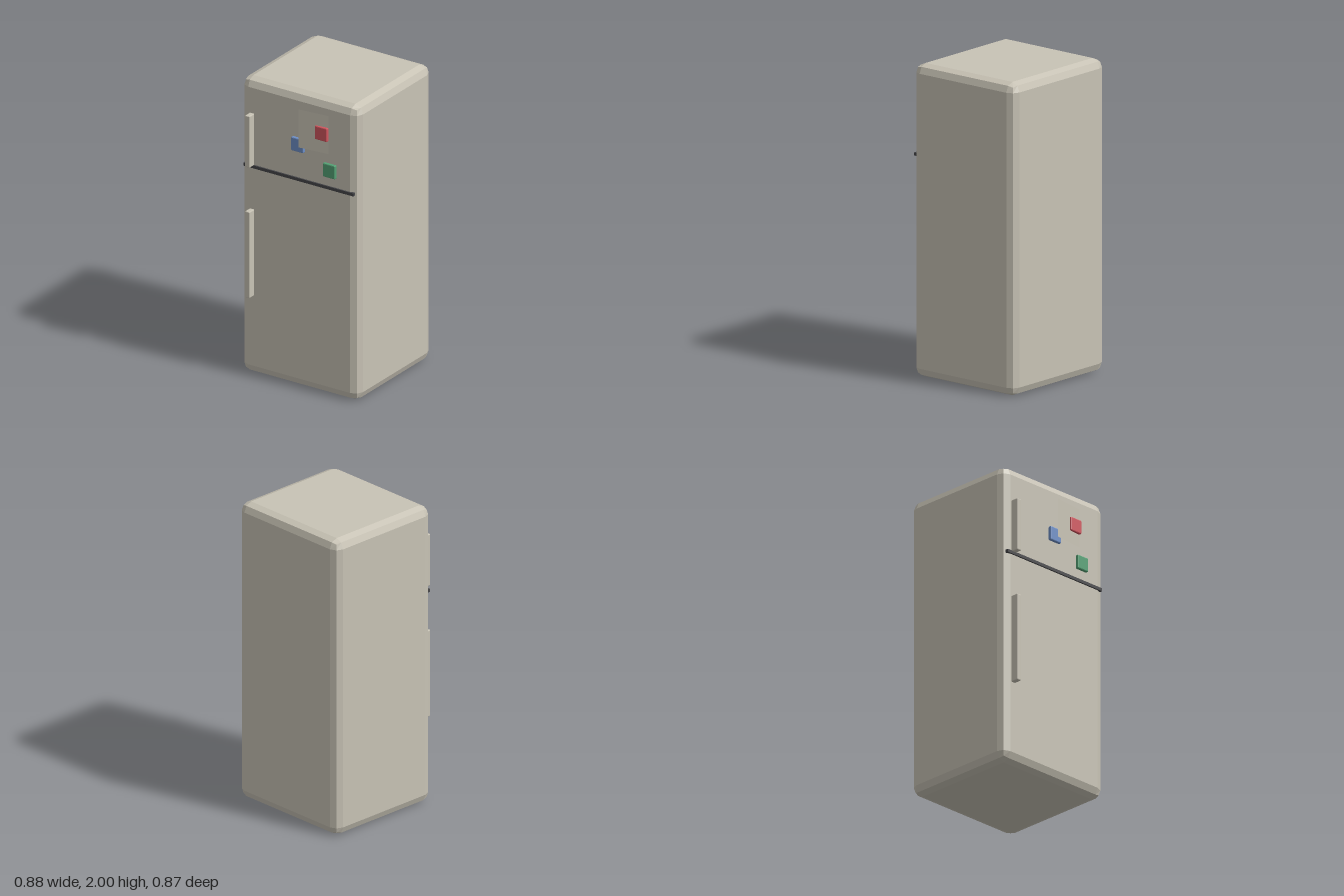
import * as THREE from 'three';

const paint = (name, color) => {
  const m = new THREE.MeshStandardMaterial({ color });
  m.name = name;
  m.flatShading = true;
  return m;
};

// Box with every edge rounded in two facets
function softBox(w, h, d, r) {
  const g = new THREE.BoxGeometry(1, 1, 1, 3, 3, 3);
  const p = g.attributes.position;
  const v = new THREE.Vector3();
  const core = new THREE.Vector3(w / 2 - r, h / 2 - r, d / 2 - r);
  const rim = (t) => (Math.abs(t) > 0.4 ? Math.sign(t) : 0);
  for (let i = 0; i < p.count; i++) {
    v.fromBufferAttribute(p, i);
    const out = new THREE.Vector3(rim(v.x), rim(v.y), rim(v.z)).normalize().multiplyScalar(r);
    const inner = new THREE.Vector3(Math.sign(v.x), Math.sign(v.y), Math.sign(v.z)).multiply(core);
    v.copy(inner).add(out);
    p.setXYZ(i, v.x, v.y, v.z);
  }
  const flat = g.toNonIndexed();
  flat.computeVertexNormals();
  return flat;
}

export function createModel() {
  const enamel = paint('warm grey enamel', 0xc8c3b5);
  const seal = paint('dark seal', 0x47474a);
  const red = paint('red magnet', 0xd2565f);
  const blue = paint('blue magnet', 0x6f90c8);
  const green = paint('green magnet', 0x55a275);
  const sheet = paint('note paper', 0xc8c3b5);
  sheet.side = THREE.DoubleSide;

  const fridge = new THREE.Group();
  fridge.name = 'refrigerator';
  const add = (name, geometry, material, x, y, z) => {
    const m = new THREE.Mesh(geometry, material);
    m.name = name;
    m.position.set(x, y, z);
    fridge.add(m);
    return m;
  };

  // Cabinet
  add('cabinet', softBox(0.876, 2, 0.82, 0.058), enamel, 0, 1, -0.026);

  // Gap between the two doors
  add('doorSeal', new THREE.BoxGeometry(0.82, 0.02, 0.02), seal, 0, 1.413, 0.384);

  // Handles
  for (const [name, low, high] of [['freezerHandle', 1.42, 1.77], ['fridgeHandle', 0.535, 1.12]]) {
    add(name, softBox(0.034, high - low, 0.06, 0.005), enamel, -0.353, (low + high) / 2, 0.406);
  }

  // Magnets
  for (const [name, mat, x, y] of [
    ['redMagnet', red, 0.174, 1.771],
    ['blueMagnet', blue, -0.002, 1.65],
    ['greenMagnet', green, 0.234, 1.533],
  ]) {
    add(name, softBox(0.092, 0.092, 0.023, 0.006), mat, x, y, 0.394);
  }

  // Note lifting off the door along one side
  const note = add('paperNote', new THREE.PlaneGeometry(0.211, 0.258), sheet, 0.115, 1.769, 0.398);
  note.rotation.y = 0.098;

  return fridge;
}
